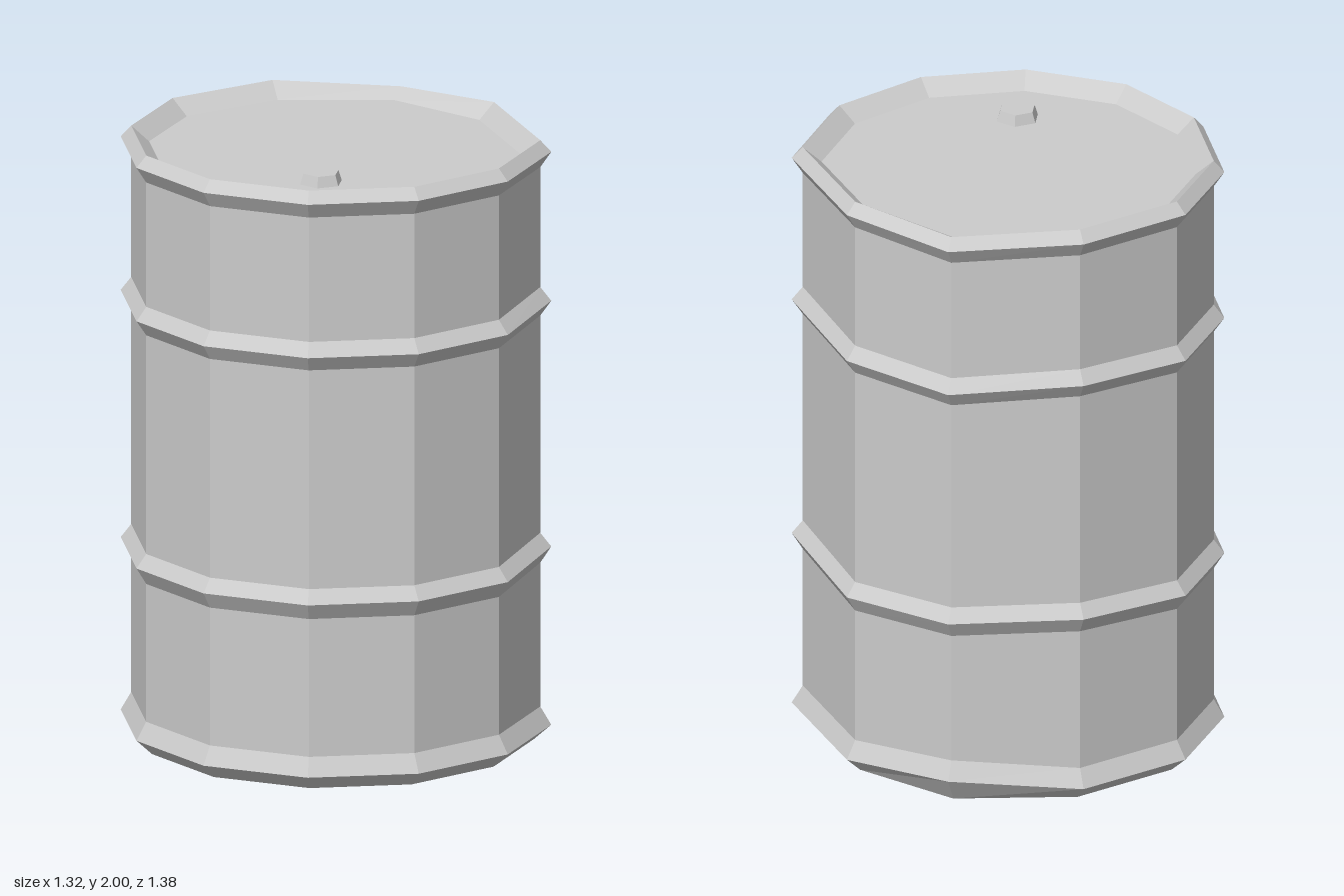
import * as THREE from 'three';

// Uneven eleven-sided outline at the widest part of the hoops (x, z)
const OUTLINE = [
  [0.01, -0.695], [0.39, -0.57], [0.66, -0.23], [0.656, 0.176], [0.4, 0.585], [0.05, 0.69],
  [-0.3, 0.607], [-0.56, 0.36], [-0.664, 0.015], [-0.58, -0.33], [-0.333, -0.596],
];

// Each ring: outline scale, height, small dents as { corner: height offset }
const FOOT = { 2: 0.033 };
const LOW = { 1: 0.02, 2: 0.01, 3: -0.005, 4: 0.02 };
const HIGH = { 1: 0.015, 2: -0.01, 4: 0.015 };
const RIM = { 2: -0.02 };
const BODY_RINGS = [
  [0, 0, {}], [0.92, 0, {}], [1, 0.05, FOOT], [0.95, 0.11, FOOT],
  [0.95, 0.57, LOW], [1, 0.625, LOW], [0.95, 0.67, LOW],
  [0.95, 1.4, HIGH], [1, 1.45, HIGH], [0.95, 1.495, HIGH],
  [0.95, 1.91, RIM], [1, 1.962, RIM], [0.95, 2, RIM], [0.865, 1.95, {}],
];
const LID_RINGS = [[0.865, 1.95, {}], [0, 1.95, {}]];

// Skins a stack of rings, closing to a fan where a ring shrinks to a point
function skin(rings) {
  const n = OUTLINE.length;
  const positions = [];
  const index = [];
  for (const [scale, y, dents] of rings) {
    OUTLINE.forEach(([x, z], j) => positions.push(x * scale, y + (dents[j] || 0), z * scale));
  }
  for (let i = 0; i < rings.length - 1; i++) {
    for (let j = 0; j < n; j++) {
      const k = (j + 1) % n;
      const a = i * n + j, b = i * n + k, c = a + n, d = b + n;
      if (rings[i][0] > 0) index.push(b, a, c);
      if (rings[i + 1][0] > 0) index.push(b, c, d);
    }
  }
  const geometry = new THREE.BufferGeometry();
  geometry.setAttribute('position', new THREE.Float32BufferAttribute(positions, 3));
  geometry.setIndex(index);
  const flat = geometry.toNonIndexed();
  flat.computeVertexNormals();
  return flat;
}

export function createModel() {
  const group = new THREE.Group();
  group.name = 'barrel';
  const material = new THREE.MeshStandardMaterial({ color: 0xcccccc, flatShading: true });

  const add = (name, geometry) => {
    const mesh = new THREE.Mesh(geometry, material);
    mesh.name = name;
    group.add(mesh);
    return mesh;
  };

  // Hooped wall with base and rolled rim, then the sunken lid
  add('body', skin(BODY_RINGS));
  add('lid', skin(LID_RINGS));

  // Hexagonal filler cap
  add('fillerCap', new THREE.CylinderGeometry(0.06, 0.073, 0.04, 6)).position.set(-0.302, 1.965, 0.205);

  return group;
}
